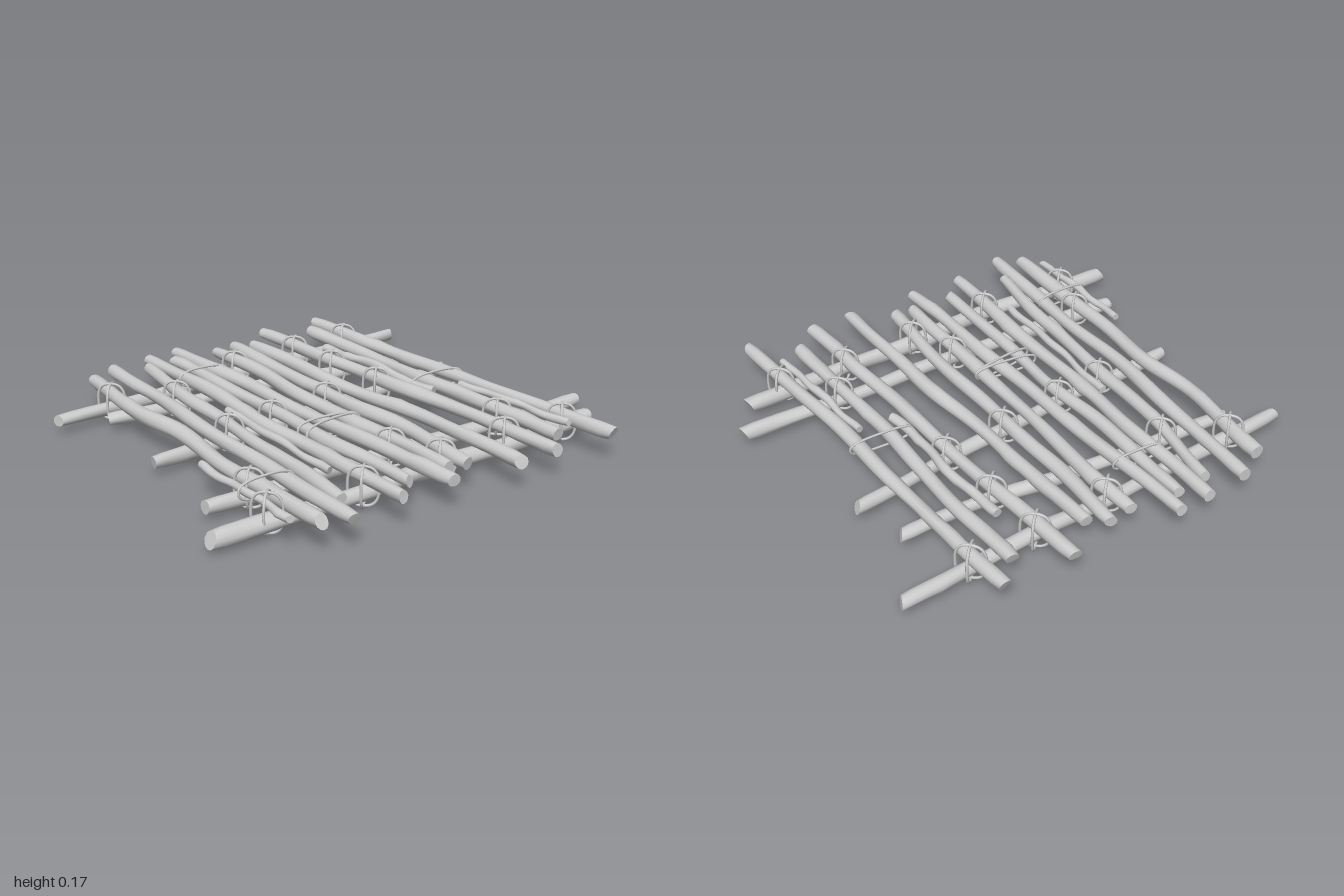
import * as THREE from 'three';

const material = new THREE.MeshStandardMaterial({ color: 0xcccccc });
const V = (x, y, z) => new THREE.Vector3(x, y, z);

function seeded(seed) {
  let s = seed * 7919 + 17;
  return () => (s = (s * 16807) % 2147483647) / 2147483647;
}

// A gnarled stick: wobbling cross-sections swept along a curve, with slanted cut ends
function stickGeometry(points, radius, seed) {
  const rnd = seeded(seed), sides = 12, rings = 36;
  for (let k = 0; k < 5; k++) rnd();
  const curve = new THREE.CatmullRomCurve3(points);
  const phase = Array.from({ length: 6 }, () => rnd() * 6.28);
  const knots = Array.from({ length: 3 }, () => ({ t: rnd(), a: rnd() * 6.28 }));
  const cuts = [rnd() - 0.5, rnd() - 0.5];
  const up = V(0, 1, 0), pos = [], index = [];
  for (let i = 0; i <= rings; i++) {
    const t = i / rings, c = curve.getPointAt(t), tan = curve.getTangentAt(t);
    const side = V(0, 0, 0).crossVectors(up, tan).normalize();
    c.y += 0.004 * Math.sin(t * 9 + phase[0]);
    c.addScaledVector(side, 0.004 * Math.sin(t * 17 + phase[1]));
    for (let j = 0; j < sides; j++) {
      const a = (j / sides) * Math.PI * 2;
      let r = 1 + 0.06 * Math.sin(t * 14 + phase[2]) + 0.05 * Math.sin(2 * a + t * 8 + phase[3])
        + 0.04 * Math.sin(3 * a + t * 23 + phase[4]);
      for (const k of knots)
        r += 0.2 * Math.exp(-(((t - k.t) / 0.025) ** 2)) * Math.max(0, Math.cos(a - k.a));
      if (i === 0 || i === rings) r *= 0.9;
      const p = c.clone().addScaledVector(side, Math.cos(a) * r * radius).addScaledVector(up, Math.sin(a) * r * radius);
      const cut = i === 0 ? cuts[0] : i === rings ? cuts[1] : 0;
      p.addScaledVector(tan, cut * radius * Math.cos(a + phase[5]));
      pos.push(p.x, p.y, p.z);
    }
  }
  for (let i = 0; i < rings; i++)
    for (let j = 0; j < sides; j++) {
      const a = i * sides + j, b = i * sides + (j + 1) % sides;
      index.push(a, b, a + sides, b, b + sides, a + sides);
    }
  // Cut ends, with their own vertices for a sharp rim
  [0, rings].forEach((ring) => {
    const base = pos.length / 3, mid = curve.getPointAt(ring / rings);
    const from = ring * sides * 3;
    pos.push(...pos.slice(from, from + sides * 3), mid.x, mid.y, mid.z);
    for (let j = 0; j < sides; j++) {
      const a = base + j, b = base + (j + 1) % sides;
      index.push(base + sides, ...(ring ? [a, b] : [b, a]));
    }
  });
  const g = new THREE.BufferGeometry();
  g.setAttribute('position', new THREE.Float32BufferAttribute(pos, 3));
  g.setIndex(index);
  g.computeVertexNormals();
  return g;
}

// A rounded loop of cord in the vertical plane through direction dir
function loopGeometry(center, dir, halfWidth, halfHeight, cord, skew = 0) {
  const pts = [];
  for (let i = 0; i < 20; i++) {
    const a = (i / 20) * Math.PI * 2, c = Math.cos(a), s = Math.sin(a);
    const squash = (v) => Math.sign(v) * Math.abs(v) ** 0.75;
    const p = center.clone().addScaledVector(dir, squash(c) * halfWidth);
    p.y += squash(s) * halfHeight;
    p.addScaledVector(V(-dir.z, 0, dir.x), s * skew);
    pts.push(p);
  }
  return new THREE.TubeGeometry(new THREE.CatmullRomCurve3(pts, true), 44, cord, 6, true);
}

export function createModel() {
  const raft = new THREE.Group();
  raft.name = 'logRaft';
  const part = (name) => {
    const g = new THREE.Group();
    g.name = name;
    raft.add(g);
    return g;
  };
  const add = (group, name, geometry) => {
    const m = new THREE.Mesh(geometry, material);
    m.name = name;
    group.add(m);
  };
  let seed = 1;
  const sticks = (group, name, y, list) => list.forEach(([r, ...xz]) =>
    add(group, name, stickGeometry(xz.map(([x, z]) => V(x, y, z)), r, seed++)));

  // Lower runners, front to back
  sticks(part('runners'), 'runner', 0.06, [
    [0.03, [-0.76, -0.925], [-0.727, -0.61], [-0.70, 0.015], [-0.655, 0.555], [-0.63, 0.94]],
    [0.029, [-0.44, -0.75], [-0.445, -0.34], [-0.485, -0.13], [-0.51, 0.43], [-0.525, 0.755]],
    [0.029, [-0.215, -0.815], [-0.145, -0.37], [-0.11, -0.08], [-0.07, 0.23], [-0.02, 0.825]],
    [0.031, [0.45, -0.995], [0.452, -0.4], [0.455, 0.2], [0.452, 0.87]],
    [0.035, [0.62, -0.895], [0.65, -0.42], [0.655, -0.08], [0.69, 0.33], [0.68, 0.99]],
  ]);

  // Deck logs, side to side
  sticks(part('deckLogs'), 'deckLog', 0.123, [
    [0.029, [-0.94, -0.60], [-0.5, -0.64], [0, -0.665], [0.455, -0.70], [0.92, -0.75]],
    [0.029, [-0.84, -0.51], [-0.18, -0.53], [0.08, -0.52], [0.455, -0.55], [0.80, -0.555]],
    [0.029, [-0.95, -0.30], [-0.44, -0.35], [-0.14, -0.37], [0.455, -0.41], [0.915, -0.445]],
    [0.029, [-0.82, -0.165], [-0.39, -0.18], [0, -0.20], [0.35, -0.235], [0.92, -0.245]],
    [0.029, [-0.87, -0.08], [-0.44, -0.075], [-0.11, -0.08], [0.455, -0.095], [0.815, -0.07]],
    [0.029, [-0.85, 0.02], [-0.39, 0.015], [-0.07, 0.03], [0.455, 0.015], [0.805, 0.015]],
    [0.029, [-0.96, 0.185], [-0.5, 0.15], [0, 0.13], [0.455, 0.105], [0.91, 0.08]],
    [0.027, [-0.87, 0.24], [-0.39, 0.24], [0, 0.222], [0.455, 0.225], [0.82, 0.215]],
    [0.029, [-0.95, 0.33], [-0.5, 0.32], [0, 0.33], [0.455, 0.32], [0.915, 0.325]],
    [0.027, [-0.85, 0.385], [-0.51, 0.435], [0, 0.46], [0.455, 0.48], [0.80, 0.51]],
    [0.029, [-0.925, 0.525], [-0.44, 0.545], [0, 0.565], [0.455, 0.56], [0.955, 0.575]],
    [0.031, [-0.845, 0.66], [-0.39, 0.69], [-0.07, 0.668], [0.3, 0.685], [0.905, 0.67]],
  ]);

  // Thin sticks filling the gaps
  sticks(part('fillerSticks'), 'fillerStick', 0.128, [
    [0.016, [0.14, -0.615], [0.45, -0.64], [0.75, -0.665]],
    [0.02, [-0.60, -0.415], [-0.26, -0.45], [0, -0.44], [0.14, -0.465]],
    [0.016, [-0.175, 0.38], [0.2, 0.395], [0.57, 0.40]],
    [0.016, [0.245, 0.765], [0.5, 0.76], [0.825, 0.75]],
  ]);

  // Crossed lashings where runners meet deck logs
  const lashings = part('lashings');
  [
    [-0.735, -0.62], [-0.72, -0.325], [-0.70, 0.02], [-0.645, 0.68],
    [-0.445, -0.345], [-0.51, 0.435],
    [-0.145, -0.37], [-0.115, -0.08], [-0.07, 0.23], [-0.045, 0.457],
    [0.455, -0.545], [0.455, 0.02], [0.455, 0.68],
    [0.65, -0.725], [0.63, -0.425], [0.655, -0.07], [0.687, 0.33], [0.67, 0.745],
  ].forEach(([x, z]) => [1, -1].forEach((s) =>
    add(lashings, 'lashing', loopGeometry(V(x, 0.088, z), V(1, 0, s).normalize(), 0.06, 0.08, 0.006))));

  // Long ties that bundle neighbouring deck logs: x, z at back, x, z at front
  const ties = part('bundleTies');
  [
    [0.038, -0.71, 0.03, -0.43], [-0.605, 0.12, -0.615, 0.36],
    [0.203, -0.015, 0.178, 0.275], [0.205, -0.015, 0.242, 0.275], [0.533, 0.535, 0.543, 0.785],
  ].forEach(([x0, z0, x1, z1]) => {
    const a = V(x0, 0.124, z0), b = V(x1, 0.124, z1), d = b.clone().sub(a);
    const half = d.length() / 2;
    add(ties, 'bundleTie', loopGeometry(a.add(b).multiplyScalar(0.5), d.normalize(), half, 0.038, 0.0055, 0.006));
  });
  return raft;
}
